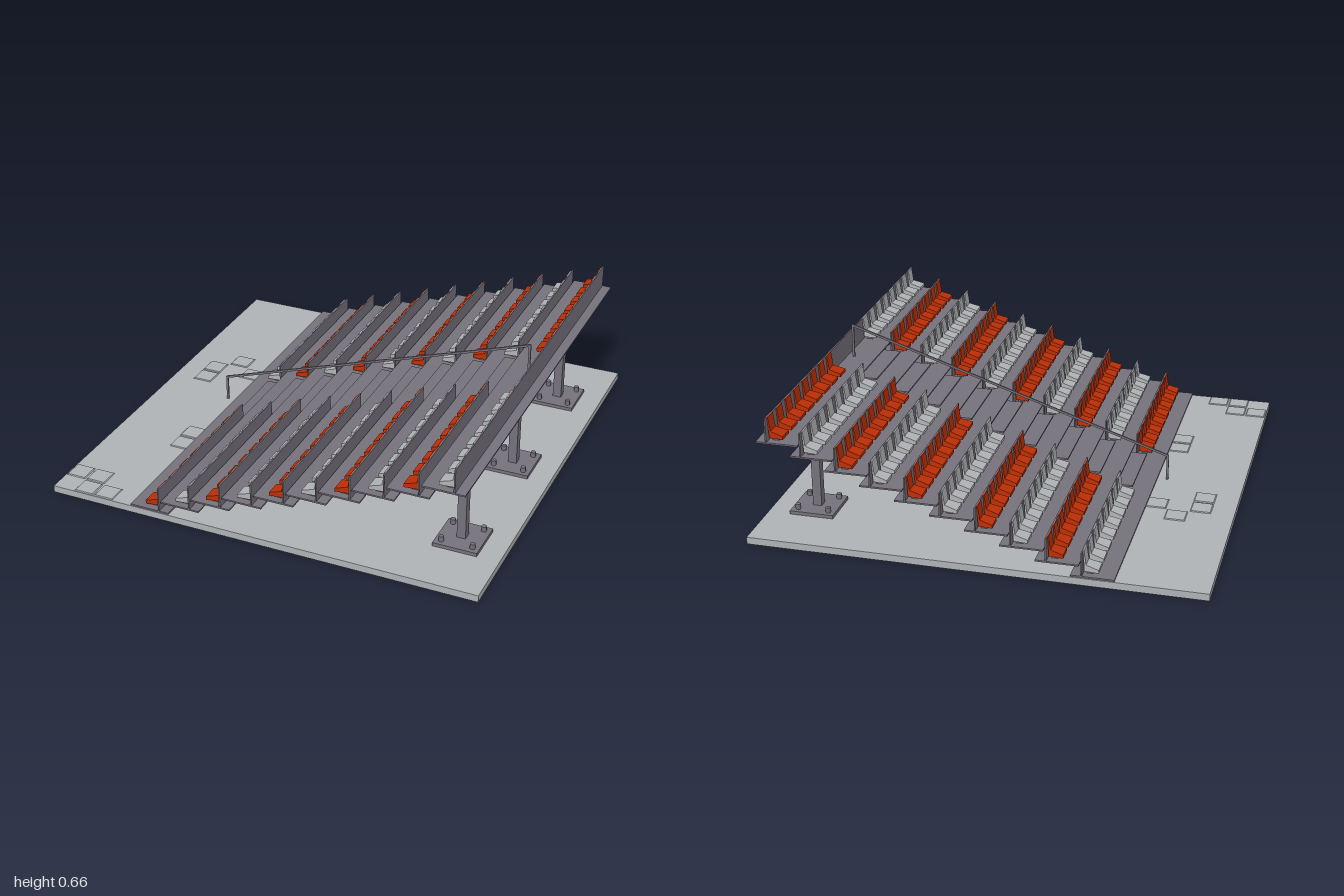
import * as THREE from 'three';

const mat = (name, color) => {
  const m = new THREE.MeshStandardMaterial({ color });
  m.name = name;
  return m;
};

export function createModel() {
  const root = new THREE.Group();
  root.name = 'grandstand';
  const concrete = mat('concrete grey', 0xaeb2b5);
  const steel = mat('steel grey', 0x75717b);
  const red = mat('seat red', 0xbc2e06);
  const pale = mat('seat pale grey', 0xb0b3b5);

  const group = (name) => {
    const g = new THREE.Group();
    g.name = name;
    root.add(g);
    return g;
  };
  const add = (parent, name, geo, m, x, y, z) => {
    const mesh = new THREE.Mesh(geo, m);
    mesh.name = name;
    mesh.position.set(x, y, z);
    parent.add(mesh);
    return mesh;
  };
  // Box given by its minimum and maximum corners
  const box = (parent, name, m, [x0, y0, z0], [x1, y1, z1]) =>
    add(parent, name, new THREE.BoxGeometry(x1 - x0, y1 - y0, z1 - z0), m, (x0 + x1) / 2, (y0 + y1) / 2, (z0 + z1) / 2);
  // Low square block with sloping sides, given by its top and bottom widths
  const frustum = (top, bottom, h) => {
    const g = new THREE.CylinderGeometry(top * Math.SQRT1_2, bottom * Math.SQRT1_2, h, 4);
    g.rotateY(Math.PI / 4);
    const flat = g.toNonIndexed();
    flat.computeVertexNormals();
    return flat;
  };

  // Ground slab with a few slightly raised paving tiles
  box(root, 'groundSlab', concrete, [-1, 0.002, -1], [1, 0.034, 1]);
  const paving = group('paving');
  const tileGeo = frustum(0.085, 0.1, 0.008);
  const tiles = [[-0.8, -0.4], [-0.7, -0.3], [-0.9, -0.3], [-0.9, -0.2], [-0.7, 0.3],
    [-0.7, 0.4], [-1, 0.8], [-0.9, 0.8], [-0.9, 0.9], [-0.8, 0.9]];
  for (const [x, z] of tiles) add(paving, 'pavingTile', tileGeo, concrete, x + 0.05, 0.034, z + 0.05);

  // Seat: wedge cushion and thin raked back as one profile, narrowing to the rear
  const profile = new THREE.Shape([[-0.07, 0.016], [-0.008, 0.016], [-0.002, 0.109], [-0.006, 0.109],
    [-0.015, 0.046], [-0.07, 0.031]].map(([x, y]) => new THREE.Vector2(x, y)));
  const seatGeo = new THREE.ExtrudeGeometry(profile, { depth: 0.07, bevelEnabled: false });
  seatGeo.translate(0, 0, -0.035);
  const p = seatGeo.attributes.position;
  for (let i = 0; i < p.count; i++) {
    if (p.getX(i) > -0.03) p.setZ(i, p.getZ(i) * 0.82);
  }
  seatGeo.computeVertexNormals();
  const legGeo = new THREE.BoxGeometry(0.03, 0.014, 0.03);

  // Ten terraces: tread, back panels either side of the aisle, and seats
  for (let i = 0; i < 10; i++) {
    const dx = 0.15 * i, dy = 0.05 * i;
    const row = group('terrace');
    box(row, 'tread', steel, [-0.607 + dx, 0.037 + dy, -1], [-0.422 + dx, 0.044 + dy, 1]);
    const spans = i === 9 ? [[-1, 1]] : [[-1, -0.2], [0.2, 1]];
    for (const [a, b] of spans) {
      box(row, 'backPanel', steel, [-0.471 + dx, 0.04 + dy, a], [-0.465 + dx, 0.15 + dy, b]);
    }
    // Intermediate aisle step
    if (i < 9) {
      box(row, 'aisleStep', steel, [-0.522 + dx, 0.061 + dy, -0.175], [-0.34 + dx, 0.069 + dy, 0.175]);
    }
    for (const side of [-1, 1]) {
      const m = (i % 2 === 0) === (side > 0) ? red : pale;
      for (let k = 0; k < 8; k++) {
        const z = side * (0.25 + 0.1 * k);
        add(row, 'seat', seatGeo, m, -0.469 + dx, 0.041 + dy, z);
        add(row, 'seatLeg', legGeo, steel, -0.5 + dx, 0.05 + dy, z);
      }
    }
  }

  // Rear posts on bolted base plates, with a footing showing under the slab
  const boltGeo = new THREE.CylinderGeometry(0.012, 0.012, 0.025, 6);
  const footingGeo = frustum(0.2, 0.16, 0.003);
  for (const z of [-0.65, 0, 0.65]) {
    const post = group('rearPost');
    box(post, 'column', steel, [0.78, 0.04, z - 0.02], [0.82, 0.486, z + 0.02]);
    box(post, 'basePlate', steel, [0.7, 0.03, z - 0.1], [0.9, 0.05, z + 0.1]);
    add(post, 'footing', footingGeo, concrete, 0.8, 0.0015, z);
    for (const sx of [-1, 1]) for (const sz of [-1, 1]) {
      add(post, 'bolt', boltGeo, steel, 0.8 + sx * 0.07, 0.0615, z + sz * 0.07);
    }
  }

  // Central handrail: uprights at both ends and a sloping bar
  const rail = group('handrail');
  const pts = [[-0.65, 0.03], [-0.65, 0.153], [0.847, 0.65], [0.847, 0.49]].map(([x, y]) => new THREE.Vector3(x, y, 0));
  for (let i = 0; i < 3; i++) {
    const d = pts[i + 1].clone().sub(pts[i]);
    const mid = pts[i].clone().addScaledVector(d, 0.5);
    const bar = add(rail, i === 1 ? 'railBar' : 'railUpright',
      new THREE.BoxGeometry(0.01, d.length() + 0.006, 0.008), steel, mid.x, mid.y, 0);
    bar.rotation.z = Math.atan2(-d.x, d.y);
  }
  return root;
}
